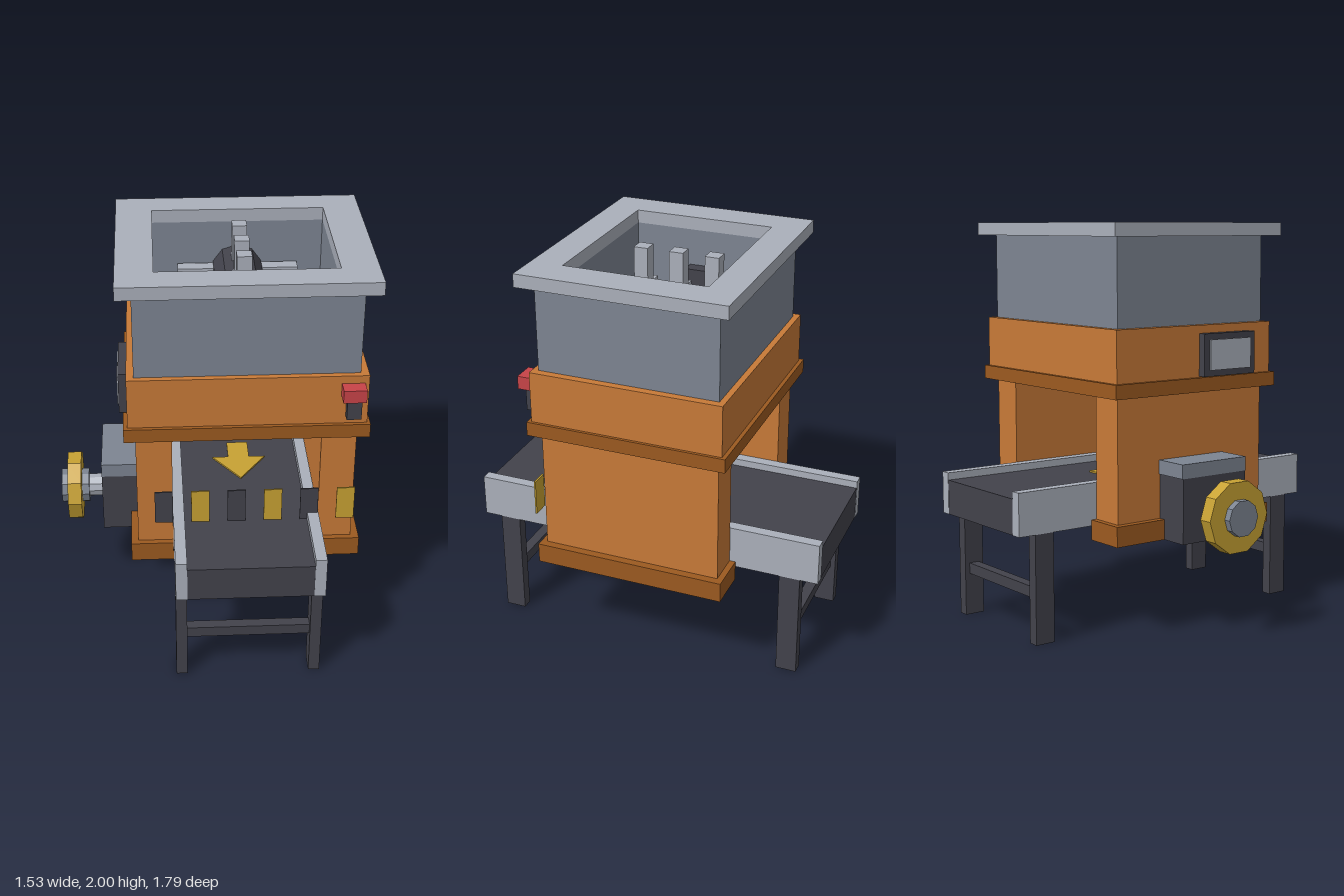
import * as THREE from 'three';

const mat = (name, color) => {
  const m = new THREE.MeshStandardMaterial({ color });
  m.name = name;
  m.flatShading = true;
  return m;
};

export function createModel() {
  const root = new THREE.Group();
  root.name = 'shredder';
  const orange = mat('orange paint', 0xc87a38);
  const rust = mat('dark orange trim', 0x9c5a20);
  const slate = mat('slate metal', 0x7d8592);
  const silver = mat('light grey metal', 0xabb0bb);
  const dark = mat('dark rubber', 0x42424b);
  const yellow = mat('yellow', 0xc8a233);
  const red = mat('red', 0xc84448);
  const olive = mat('olive grate', 0x867b62);

  const CX = 0.158; // centre line of the main tower

  const add = (name, geo, material, parent = root) => {
    const mesh = new THREE.Mesh(geo, material);
    mesh.name = name;
    parent.add(mesh);
    return mesh;
  };
  // Box given by its extents on each axis
  const box = (name, material, [x0, x1], [y0, y1], [z0, z1], parent = root) => {
    const mesh = add(name, new THREE.BoxGeometry(x1 - x0, y1 - y0, z1 - z0), material, parent);
    mesh.position.set((x0 + x1) / 2, (y0 + y1) / 2, (z0 + z1) / 2);
    return mesh;
  };
  const group = (name) => {
    const g = new THREE.Group();
    g.name = name;
    root.add(g);
    return g;
  };
  const rect = (Type, w, d) => new Type([
    new THREE.Vector2(-w, -d), new THREE.Vector2(w, -d),
    new THREE.Vector2(w, d), new THREE.Vector2(-w, d),
  ]);
  // Rectangular frame around the hopper opening
  const frame = (name, material, w, d, y0, y1) => {
    const shape = rect(THREE.Shape, w, d);
    shape.holes.push(rect(THREE.Path, 0.428, 0.355));
    const geo = new THREE.ExtrudeGeometry(shape, { depth: y1 - y0, bevelEnabled: false });
    geo.rotateX(-Math.PI / 2);
    add(name, geo, material).position.set(CX, y0, 0);
  };

  // Hopper and tower body
  frame('hopperRim', silver, 0.607, 0.515, 1.935, 2);
  frame('hopperWalls', slate, 0.533, 0.45, 1.505, 1.935);
  box('upperBody', orange, [-0.41, 0.73], [1.25, 1.505], [-0.48, 0.48]);
  box('bodyTrim', rust, [-0.43, 0.745], [1.18, 1.25], [-0.5, 0.5]);
  box('grate', olive, [-0.092, 0.408], [1.505, 1.511], [-0.25, 0.25]);

  // Side columns with plinths
  box('rightColumn', orange, [-0.375, -0.2], [0.57, 1.18], [-0.45, 0.45]);
  box('leftColumn', orange, [0.52, 0.69], [0.57, 1.18], [-0.45, 0.45]);
  box('rightPlinth', rust, [-0.41, -0.2], [0.47, 0.57], [-0.48, 0.48]);
  box('leftPlinth', rust, [0.52, 0.73], [0.47, 0.57], [-0.48, 0.48]);

  // Toothed drum inside the hopper
  const rotor = group('rotor');
  rotor.position.set(CX, 1.68, 0);
  const drumGeo = new THREE.CylinderGeometry(0.128, 0.128, 0.71, 10);
  drumGeo.rotateX(Math.PI / 2);
  add('drum', drumGeo, dark, rotor);
  for (const z of [-0.31, -0.13, 0.05, 0.23])
    for (const s of [-1, 1])
      box('sideTooth', silver, s > 0 ? [0.11, 0.303] : [-0.303, -0.11],
        [-0.035, 0.035], [z - 0.035, z + 0.035], rotor);
  for (const z of [-0.22, -0.04, 0.14])
    box('topTooth', silver, [-0.036, 0.036], [0.1, 0.303], [z - 0.035, z + 0.035], rotor);
  for (const x of [-0.27, 0.515])
    box('bearing', dark, [x, x + 0.07], [1.61, 1.75], [-0.07, 0.07]);

  // Conveyor
  box('belt', dark, [-0.145, 0.46], [0.54, 0.715], [-0.893, 0.893]);
  for (const x of [-0.2, 0.46]) {
    box('rail', silver, [x, x + 0.055], [0.54, 0.752], [-0.895, 0.895]);
    for (const z of [-0.753, 0.753])
      box('conveyorLeg', dark, [x, x + 0.055], [0, 0.54], [z - 0.052, z + 0.052]);
  }
  for (const z of [-0.753, 0.753])
    box('crossbar', dark, [-0.145, 0.46], [0.215, 0.27], [z - 0.027, z + 0.027]);

  // Arrow plate on the belt, pointing to the front
  const arrow = new THREE.Shape([
    [-0.055, 0.2], [0.055, 0.2], [0.055, 0.06], [0.138, 0.06],
    [0, -0.14], [-0.138, 0.06], [-0.055, 0.06],
  ].map(([x, y]) => new THREE.Vector2(x, y)));
  const arrowGeo = new THREE.ExtrudeGeometry(arrow, { depth: 0.008, bevelEnabled: false });
  arrowGeo.rotateX(-Math.PI / 2);
  add('arrow', arrowGeo, yellow).position.set(CX, 0.715, 0);

  // Row of warning plates across the front
  for (let i = 0; i < 6; i++) {
    const x = -0.245 + i * 0.178;
    box('warningPlate', i % 2 ? yellow : dark, [x - 0.044, x + 0.044], [0.717, 0.895], [0.501, 0.509]);
  }

  // Motor with shaft, flywheel and hub
  box('motor', dark, [-0.555, -0.375], [0.47, 0.79], [-0.195, 0.195]);
  box('motorCap', slate, [-0.555, -0.375], [0.79, 0.86], [-0.2, 0.2]);
  const disc = (name, material, radius, x0, x1) => {
    const geo = new THREE.CylinderGeometry(radius, radius, x1 - x0, 10);
    geo.rotateZ(Math.PI / 2);
    // Turn so that a corner points straight down
    geo.rotateX(Math.PI / 2);
    geo.rotateX(Math.PI / 2);
    add(name, geo, material).position.set((x0 + x1) / 2, 0.61, 0);
  };
  disc('shaft', silver, 0.06, -0.64, -0.55);
  disc('hub', slate, 0.09, -0.77, -0.628);
  disc('flywheel', yellow, 0.18, -0.735, -0.665);

  // Control panel on the right side
  box('controlPanel', dark, [-0.45, -0.41], [1.255, 1.465], [0.02, 0.345]);
  box('panelScreen', silver, [-0.456, -0.45], [1.285, 1.435], [0.055, 0.315]);

  // Stop switch on the front
  box('switchBracket', dark, [0.625, 0.695], [1.29, 1.4], [0.48, 0.52]);
  box('stopButton', red, [0.6, 0.71], [1.4, 1.465], [0.48, 0.553]);

  return root;
}
